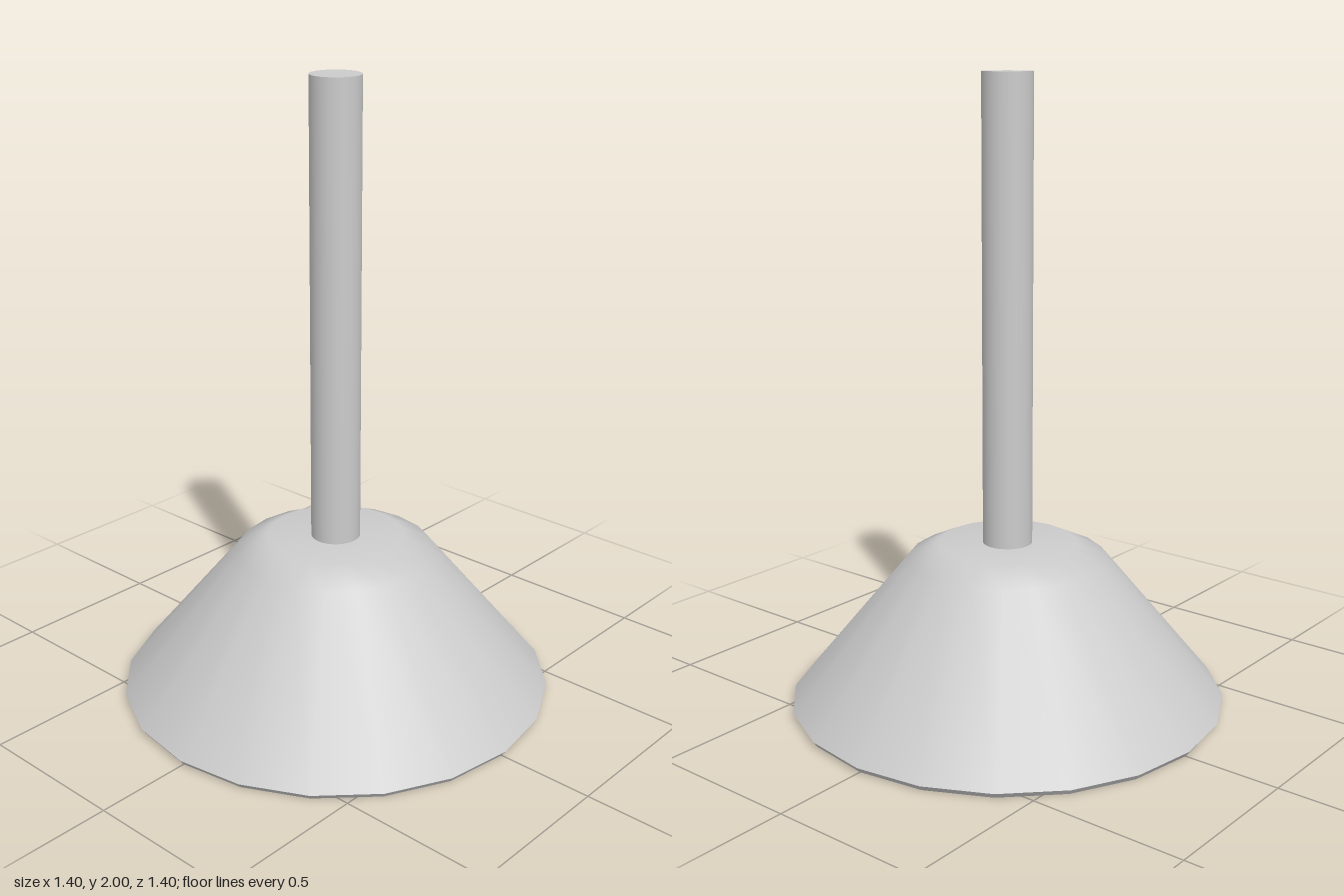
import * as THREE from 'three';

const SIDES = 20;

export function createModel() {
  const model = new THREE.Group();
  const material = new THREE.MeshStandardMaterial({ color: 0xcccccc });

  const add = (parent, name, geometry) => {
    const mesh = new THREE.Mesh(geometry, material);
    mesh.name = name;
    parent.add(mesh);
    return mesh;
  };
  const lathe = (points) =>
    new THREE.LatheGeometry(points.map(([r, y]) => new THREE.Vector2(r, y)), SIDES);

  // Cup: separate lathes keep the rim edges sharp and the walls smooth
  const cup = new THREE.Group();
  cup.name = 'cup';
  model.add(cup);
  add(cup, 'cupOuterWall', lathe([[0.7, 0.018], [0.315, 0.485], [0.22, 0.53], [0, 0.53]]));
  add(cup, 'cupRim', lathe([[0.687, 0], [0.7, 0.018]]));

  // Domed hollow underneath
  add(cup, 'cupHollow', lathe([[0, 0.36], [0.1, 0.345], [0.2, 0.305], [0.35, 0.23], [0.5, 0.135], [0.687, 0]]));

  // Straight handle, its foot set just into the cup top
  const bottom = 0.52, top = 2;
  const handle = add(model, 'handle', new THREE.CylinderGeometry(0.079, 0.079, top - bottom, 32));
  handle.position.y = (top + bottom) / 2;

  return model;
}
